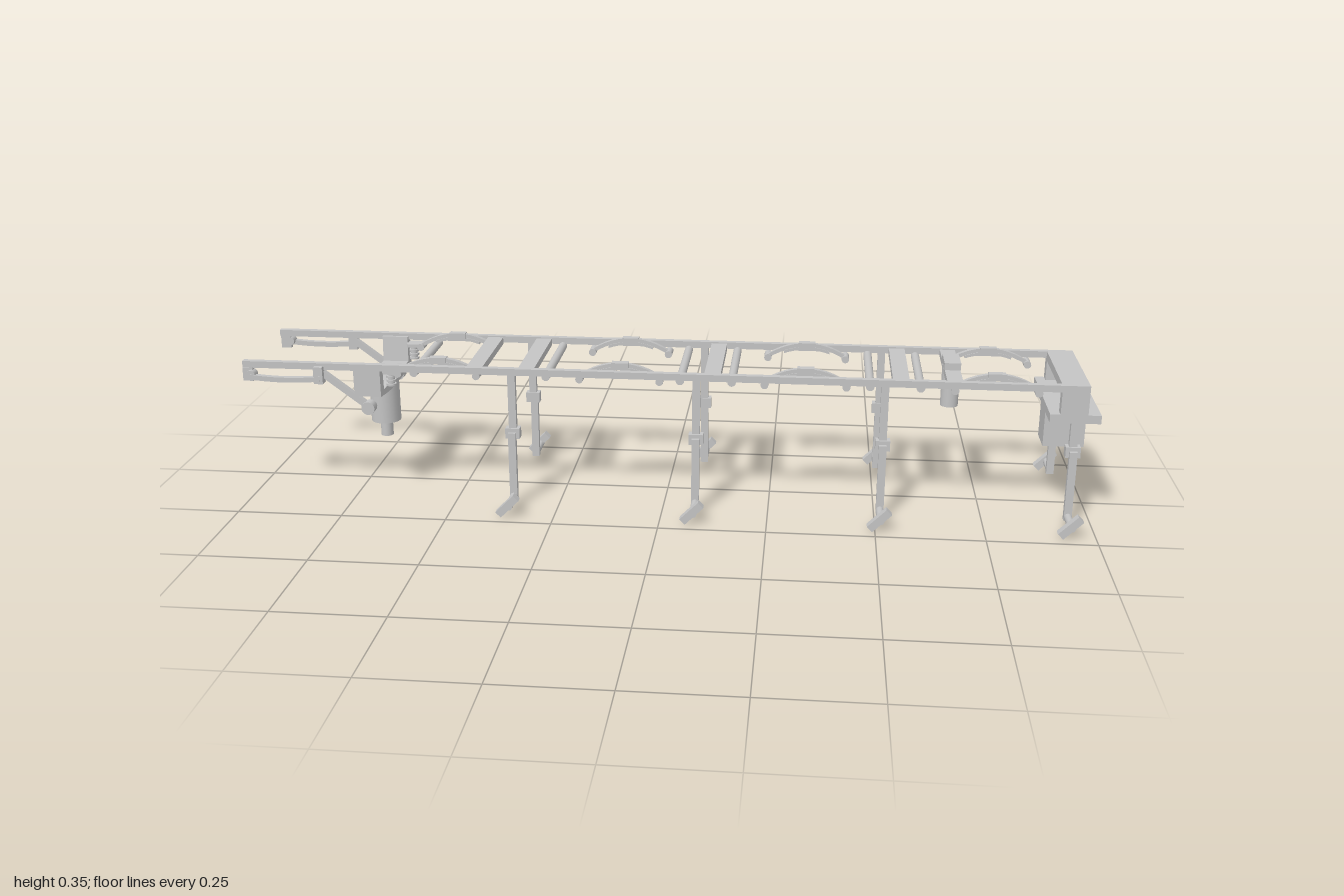
import * as THREE from 'three';

export function createModel() {
  const model = new THREE.Group();
  model.name = 'ladderChassis';
  const steel = new THREE.MeshStandardMaterial({ color: 0xc4c4c4 });
  steel.name = 'light grey steel';

  const add = (name, geometry, x, y, z) => {
    const mesh = new THREE.Mesh(geometry, steel);
    mesh.name = name;
    mesh.position.set(x, y, z);
    model.add(mesh);
    return mesh;
  };
  // Box given by its limits on each axis
  const box = (name, x0, x1, y0, y1, z0, z1) =>
    add(name, new THREE.BoxGeometry(x1 - x0, y1 - y0, Math.abs(z1 - z0)),
      (x0 + x1) / 2, (y0 + y1) / 2, (z0 + z1) / 2);
  const post = (name, r, x, y0, y1, z) =>
    add(name, new THREE.CylinderGeometry(r, r, y1 - y0, 24), x, (y0 + y1) / 2, z);
  const pin = (name, r, x, y, z0, z1) => {
    const mesh = add(name, new THREE.CylinderGeometry(r, r, Math.abs(z1 - z0), 16), x, y, (z0 + z1) / 2);
    mesh.rotation.x = Math.PI / 2;
    return mesh;
  };
  // Curved leaf of constant thickness, rising by h at the middle
  const leaf = (name, half, h, t, width, x, y, z) => {
    const s = new THREE.Shape();
    s.moveTo(-half, 0);
    s.quadraticCurveTo(0, 2 * h, half, 0);
    s.lineTo(half, t);
    s.quadraticCurveTo(0, 2 * h + t, -half, t);
    const g = new THREE.ExtrudeGeometry(s, { depth: width, bevelEnabled: false, curveSegments: 12 });
    g.translate(0, 0, -width / 2);
    return add(name, g, x, y, z);
  };

  const legX = [-0.355, 0.079, 0.512, 0.943];
  const springX = [-0.535, -0.102, 0.33, 0.765];

  for (const s of [1, -1]) {
    // Long side rail
    box('sideRail', -1, 0.97, 0.325, 0.341, s * 0.125, s * 0.14);

    // Legs with offset lower post, axle and tilted foot
    for (const x of legX) {
      box('upperLeg', x - 0.009, x + 0.009, 0.18, 0.326, s * 0.125, s * 0.139);
      box('legCollar', x - 0.017, x + 0.017, 0.17, 0.195, s * 0.122, s * 0.145);
      box('lowerLeg', x - 0.009, x + 0.009, 0.018, 0.186, s * 0.14, s * 0.154);
      pin('footAxle', 0.009, x, 0.027, s * 0.14, s * 0.222);
      const foot = add('foot', new THREE.BoxGeometry(0.061, 0.018, 0.02), x - 0.003, 0.029, s * 0.215);
      foot.rotation.z = Math.PI / 4;
    }

    // Bowed leaf springs hung between cross pins
    for (const x of springX) {
      leaf('leafSpring', 0.095, 0.03, 0.01, 0.012, x, 0.313, s * 0.103);
      leaf('leafSpringShort', 0.055, 0.01, 0.007, 0.016, x, 0.327, s * 0.103);
      box('springPad', x - 0.02, x + 0.02, 0.339, 0.354, s * 0.093, s * 0.112);
      for (const e of [-1, 1]) pin('springPin', 0.009, x + e * 0.094, 0.316, s * 0.09, s * 0.128);
    }

    // Rear overhang: end post, sagging leaf and hanger
    box('overhangPost', -1, -0.975, 0.293, 0.326, s * 0.13, s * 0.142);
    box('overhangHanger', -0.825, -0.803, 0.293, 0.334, s * 0.13, s * 0.152);
    leaf('overhangLeaf', 0.085, -0.005, 0.012, 0.013, -0.895, 0.3, s * 0.147);
    pin('overhangPin', 0.011, -0.978, 0.31, s * 0.13, s * 0.152);

    // Diagonal strut and its pivot
    const dx = 0.12, dy = -0.09;
    const strut = add('strut', new THREE.BoxGeometry(Math.hypot(dx, dy), 0.015, 0.013), -0.76, 0.28, s * 0.133);
    strut.rotation.z = Math.atan2(dy, dx);
    pin('strutPivot', 0.016, -0.7, 0.234, s * 0.123, s * 0.147);

    // Small stacked coil
    for (let i = 0; i < 7; i++) {
      post('coilRing', i % 2 ? 0.008 : 0.012, -0.65, 0.282 + i * 0.005, 0.287 + i * 0.005, s * 0.107);
    }
    box('coilBracket', -0.665, -0.635, 0.314, 0.322, s * 0.095, s * 0.128);

    // Uprights of the end frame
    box('endUpright', 0.908, 0.97, 0.27, 0.34, s * 0.115, s * 0.14);
  }

  // Flat cross members and round cross tubes
  for (const x of [-0.445, -0.322, 0.115, 0.548]) {
    box('crossMember', x - 0.019, x + 0.019, 0.321, 0.338, -0.127, 0.127);
  }
  for (const x of [-0.59, -0.275, 0.04, 0.16, 0.478, 0.593]) {
    pin('crossTube', 0.01, x, 0.32, -0.127, 0.127);
  }

  // Centre column on its cross member
  box('columnBeam', 0.652, 0.688, 0.322, 0.338, -0.127, 0.127);
  box('columnCap', 0.651, 0.689, 0.338, 0.355, -0.039, 0.039);
  post('column', 0.021, 0.67, 0.24, 0.34, 0);

  // End frame with tray and hanging box
  box('endTopPlate', 0.908, 0.97, 0.32, 0.341, -0.14, 0.14);
  box('endTray', 0.885, 1, 0.252, 0.272, -0.14, 0.14);
  box('hangingBox', 0.89, 0.985, 0.158, 0.253, -0.038, 0.038);

  // Dropped cradle at the other end
  const half = [[0.14, 0.334], [0.117, 0.334], [0.112, 0.272], [0.09, 0.272], [0.062, 0.277], [0.038, 0.266]];
  const under = [[0.05, 0.252], [0.095, 0.256], [0.14, 0.262]];
  const outline = [
    ...half, ...half.slice().reverse().map(([z, y]) => [-z, y]),
    ...under.slice().reverse().map(([z, y]) => [-z, y]), ...under,
  ];
  const cradle = new THREE.ExtrudeGeometry(
    new THREE.Shape(outline.map(([z, y]) => new THREE.Vector2(z, y))),
    { depth: 0.064, bevelEnabled: false });
  cradle.translate(0, 0, -0.032);
  add('cradle', cradle, -0.7, 0, 0).rotation.y = Math.PI / 2;
  post('cradleCylinder', 0.036, -0.7, 0.157, 0.268, 0);
  post('cylinderTip', 0.015, -0.7, 0.117, 0.158, 0);

  return model;
}
